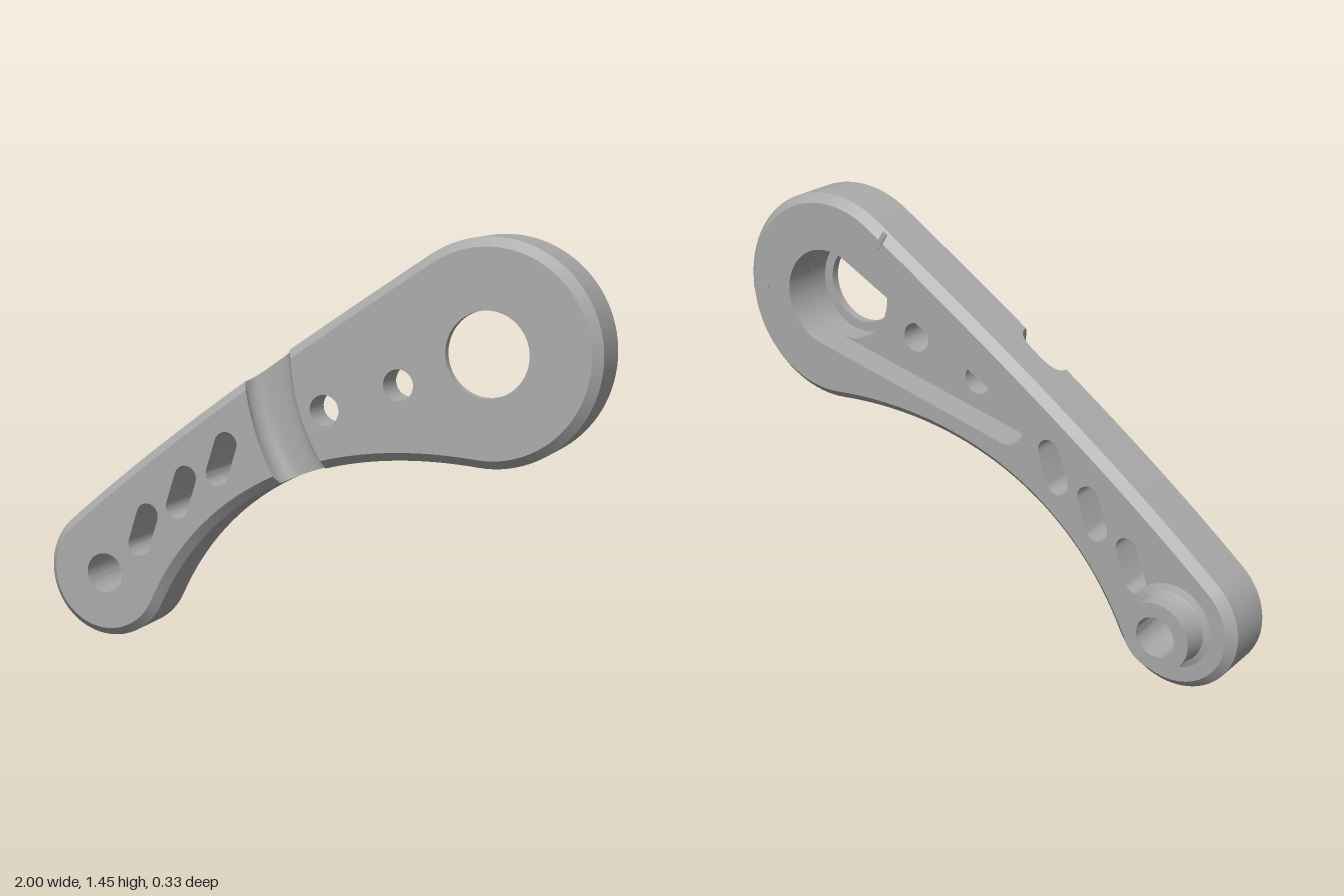
import * as THREE from 'three';
import { toCreasedNormals } from 'three/addons/utils/BufferGeometryUtils.js';

const V2 = THREE.Vector2, V3 = THREE.Vector3;
const FRONT = 0.15, BACK = -0.075, CHAMFER = 0.03, FLOOR = 0.035, SHELF = 0.12;
const HEAD = new V2(0.63, 1.085), HEAD_R = 0.37;
const END = new V2(-0.77, 0.235), END_R = 0.23;
const rad = THREE.MathUtils.degToRad;

const polar = (c, r, a) => new V2(c.x + r * Math.cos(a), c.y + r * Math.sin(a));
function arc(c, r, a0, a1, n) {
  return Array.from({ length: n + 1 }, (_, i) => polar(c, r, a0 + (a1 - a0) * i / n));
}
const circle = (c, r, n = 48) => arc(c, r, 0, Math.PI * 2, n).slice(0, -1);
const at = (pts, z) => pts.map(p => new V3(p.x, p.y, z));

// Surface through a series of equally long rows of points
function skin(rows, closed) {
  const pos = [], n = rows[0].length;
  const tri = (a, b, c) => {
    const area = new V3().subVectors(b, a).cross(new V3().subVectors(c, a)).length();
    if (area > 1e-9) for (const p of [a, b, c]) pos.push(p.x, p.y, p.z);
  };
  for (let j = 0; j < rows.length - 1; j++) {
    for (let i = 0; i < (closed ? n : n - 1); i++) {
      const k = (i + 1) % n, a = rows[j], b = rows[j + 1];
      tri(a[i], a[k], b[k]);
      tri(a[i], b[k], b[i]);
    }
  }
  const g = new THREE.BufferGeometry();
  g.setAttribute('position', new THREE.Float32BufferAttribute(pos, 3));
  return toCreasedNormals(g, rad(30));
}

// Inward-facing wall of an opening
const openingWall = (pts, z0, z1) => {
  const r = [...pts].reverse();
  return skin([at(r, z0), at(r, z1)], true);
};

// Flat face with holes, looking to +z or (flipped) to -z
function face(pts, holes, z, flip = false) {
  const s = new THREE.Shape(pts);
  s.holes = holes.map(h => new THREE.Path(h));
  const g = new THREE.ShapeGeometry(s).translate(0, 0, z);
  if (flip) {
    const ix = g.index.array;
    for (let i = 0; i < ix.length; i += 3) [ix[i], ix[i + 1]] = [ix[i + 1], ix[i]];
    g.computeVertexNormals();
  }
  return g;
}

// Bezier edge between two points with given end headings
function edge(a, headingA, b, headingB, la, lb) {
  return new THREE.CubicBezierCurve(a, polar(a, la, headingA), polar(b, -lb, headingB), b);
}

// Parameter on a curve lying at radius r from the head centre
function paramAtRadius(curve, r) {
  let lo = 0, hi = 1;
  const rising = curve.getPoint(1).distanceTo(HEAD) > curve.getPoint(0).distanceTo(HEAD);
  for (let i = 0; i < 40; i++) {
    const m = (lo + hi) / 2;
    if ((curve.getPoint(m).distanceTo(HEAD) < r) === rising) lo = m; else hi = m;
  }
  return lo;
}

export function createModel() {
  const grey = new THREE.MeshStandardMaterial({ color: 0xaaaaaa });
  grey.name = 'grey metal';
  const body = new THREE.Group();
  body.name = 'leverArm';
  const add = (name, geometry) => {
    const m = new THREE.Mesh(geometry, grey);
    m.name = name;
    body.add(m);
    return m;
  };

  // Rounded cross-section of the groove that circles the head
  const K = 18, groove = [];
  for (let k = 0; k <= K; k++) {
    const a = Math.PI * k / K, c = Math.cos(a);
    const depth = k % K === 0 ? 0 : 0.085 * Math.sin(a) ** 0.6;
    groove.push({ r: 0.7875 - 0.0875 * Math.sign(c) * Math.abs(c) ** 0.6, z: FRONT - depth });
  }

  // Outline, counter-clockwise, with the height of the front at each point
  const aTop = rad(123.5), eTop = rad(131), eLow = rad(335), aLow = rad(-95);
  const q = Math.PI / 2;
  const top = edge(polar(HEAD, HEAD_R, aTop), aTop + q, polar(END, END_R, eTop), eTop + q, 0.555, 0.555);
  const low = edge(polar(END, END_R, eLow), eLow + q, polar(HEAD, HEAD_R, aLow), aLow + q, 0.5, 0.5);
  const outline = [], heights = [];
  const push = (p, z = FRONT) => { outline.push(p); heights.push(z); };
  const run = (curve, t0, t1, n) => {
    for (let i = 1; i < n; i++) push(curve.getPoint(t0 + (t1 - t0) * i / n));
  };
  const crossGroove = (curve, list) => {
    const start = outline.length;
    for (const g of list) push(curve.getPoint(paramAtRadius(curve, g.r)), g.z);
    return start;
  };
  arc(HEAD, HEAD_R, aLow, aTop, 56).forEach(p => push(p));
  run(top, 0, paramAtRadius(top, 0.7), 10);
  const iTop = crossGroove(top, groove);
  run(top, paramAtRadius(top, 0.875), 1, 14);
  arc(END, END_R, eTop, eLow, 44).forEach(p => push(p));
  run(low, 0, paramAtRadius(low, 0.875), 18);
  const iLow = crossGroove(low, [...groove].reverse());
  run(low, paramAtRadius(low, 0.7), 1, 18);

  const N = outline.length;
  const inset = (i, d) => {
    const a = outline[(i + N - 1) % N], b = outline[(i + 1) % N];
    const t = new V2().subVectors(b, a).normalize();
    return new V2(outline[i].x - t.y * d, outline[i].y + t.x * d);
  };
  const ring = (d, z) => outline.map((_, i) => {
    const p = inset(i, d(i));
    return new V3(p.x, p.y, z(i));
  });
  const backRing = ring(() => CHAMFER, () => BACK);
  const frontRing = ring(
    i => THREE.MathUtils.clamp(heights[i] - FRONT + CHAMFER, 0, CHAMFER), i => heights[i]);
  add('rim', skin([
    backRing,
    ring(() => 0, () => BACK + CHAMFER),
    ring(() => 0, i => Math.min(heights[i], FRONT - CHAMFER)),
    frontRing,
  ], true));

  // Groove floor, swept from the upper to the lower edge
  const sweep = k => {
    const a = frontRing[iTop + k], b = frontRing[iLow + K - k];
    const pa = new V2(a.x, a.y).sub(HEAD), pb = new V2(b.x, b.y).sub(HEAD);
    const a0 = pa.angle(), a1 = pb.angle(), r0 = pa.length(), r1 = pb.length();
    return Array.from({ length: 25 }, (_, i) => {
      const p = polar(HEAD, r0 + (r1 - r0) * i / 24, a0 + (a1 - a0) * i / 24);
      return new V3(p.x, p.y, groove[k].z);
    });
  };
  add('groove', skin(groove.map((_, k) => sweep(k)).reverse(), false));

  // Openings
  const slots = [[-0.615, 0.405], [-0.465, 0.55], [-0.31, 0.678]].map(([x, y]) => {
    const tilt = Math.atan2(0.053, 0.017), c = new V2(x, y);
    return [
      ...arc(polar(c, 0.055, tilt), 0.042, tilt - q, tilt + q, 14),
      ...arc(polar(c, -0.055, tilt), 0.042, tilt + q, tilt + 3 * q, 14),
    ];
  });
  const smallHoles = [[0.07, 0.87], [0.33, 0.97]].map(([x, y]) => circle(new V2(x, y), 0.052, 32));
  const pivotHole = circle(END, 0.07), headHole = circle(HEAD, 0.14, 64);

  // Teardrop pocket running from the bore towards the arm
  const TIP = new V2(-0.12, 0.785), BORE_R = 0.175, TIP_R = 0.07;
  const phi = Math.atan2(TIP.y - HEAD.y, TIP.x - HEAD.x);
  const beta = Math.acos((BORE_R - TIP_R) / HEAD.distanceTo(TIP));
  const tipArc = arc(TIP, TIP_R, phi - beta, phi + beta, 24);
  const pocket = [...arc(HEAD, BORE_R, phi + beta, phi - beta + 2 * Math.PI, 40), ...tipArc];
  const bore = circle(HEAD, BORE_R, 64);

  add('pocketWall', openingWall(pocket, BACK, FLOOR));
  add('pocketFloor', face([...tipArc, ...arc(HEAD, BORE_R, phi + beta, phi - beta, 32)], smallHoles, FLOOR, true));
  add('boreWall', openingWall(bore, FLOOR, SHELF));
  add('boreShelf', face(bore, [headHole], SHELF, true));
  add('headHole', openingWall(headHole, SHELF, FRONT));
  smallHoles.forEach(h => add('smallHole', openingWall(h, FLOOR, FRONT)));
  slots.forEach(s => add('slot', openingWall(s, BACK, FRONT)));
  add('pivotHole', openingWall(pivotHole, BACK, FRONT));

  // Front and back faces
  const armFace = [...frontRing.slice(iTop + K, iLow + 1), ...sweep(K).reverse().slice(1, -1)];
  const headFace = [...frontRing.slice(iLow + K), ...frontRing.slice(0, iTop + 1), ...sweep(0).slice(1, -1)];
  const flat = pts => pts.map(p => new V2(p.x, p.y));
  add('armFace', face(flat(armFace), [pivotHole, ...slots], FRONT));
  add('headFace', face(flat(headFace), [headHole, ...smallHoles], FRONT));
  add('backFace', face(flat(backRing), [pocket, circle(END, 0.12), ...slots], BACK, true));

  // Hollow pivot boss with a small flare at its root
  const bossProfile = [[0.07, BACK], [0.07, -0.174], [0.12, -0.174], [0.12, -0.095], [0.126, -0.084], [0.15, BACK + 0.001]];
  const boss = new THREE.LatheGeometry(bossProfile.map(p => new V2(...p)), 48).rotateX(q);
  add('pivotBoss', toCreasedNormals(boss, rad(35))).position.set(END.x, END.y, 0);

  // Index marks on the back of the head
  for (const [x, y, a] of [[0.385, 1.335, 123], [0.935, 1.075, 0]]) {
    const m = add('indexMark', new THREE.BoxGeometry(0.07, 0.018, 0.006));
    m.position.set(x, y, BACK);
    m.rotation.z = rad(a);
  }

  // Slight backward lean
  body.rotation.x = -0.0155;
  body.position.z = 0.013;
  const model = new THREE.Group();
  model.name = 'lever';
  model.add(body);
  return model;
}
